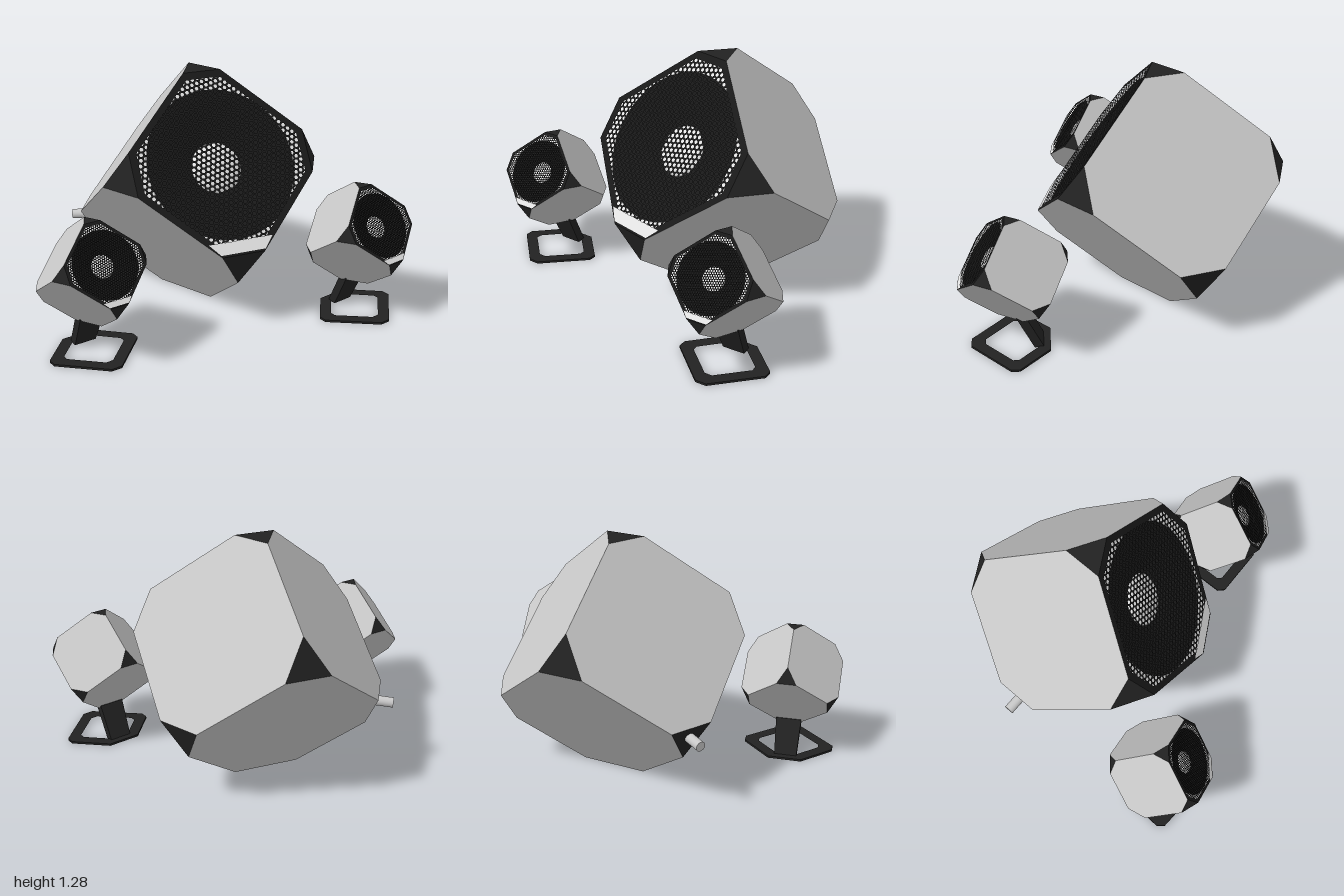
import * as THREE from 'three';
import { mergeGeometries } from 'three/addons/utils/BufferGeometryUtils.js';

const mat = (name, color, side = THREE.FrontSide) => {
  const m = new THREE.MeshStandardMaterial({ color, side });
  m.name = name;
  return m;
};
const grey = mat('casing grey', 0xc8c8c8);
const dark = mat('corner black', 0x222222);
const black = mat('grille black', 0x191919, THREE.DoubleSide);
const pale = mat('panel white', 0xe4e4e4, THREE.DoubleSide);

const A = 0.87, H = A / 2;
// chamfer length at a cube corner: the top one is smaller, the bottom one larger
const cut = (c) => {
  const sum = Math.sign(c[0]) + Math.sign(c[1]) + Math.sign(c[2]);
  return sum === 3 ? 0.15 : sum === -3 ? 0.25 : 0.17;
};

function mesh(name, geometry, material) {
  const m = new THREE.Mesh(geometry, material);
  m.name = name;
  return m;
}

// convex polygon as a fan, wound so it faces away from the centre
function polygon(points) {
  const v = points.map((p) => new THREE.Vector3(...p));
  const n = v[1].clone().sub(v[0]).cross(v[2].clone().sub(v[0]));
  if (n.dot(v[0]) < 0) v.reverse();
  const out = [];
  for (let i = 1; i < v.length - 1; i++) out.push(v[0], v[i], v[i + 1]);
  const g = new THREE.BufferGeometry().setFromPoints(out);
  g.computeVertexNormals();
  return g;
}

// octagon of one cube face
function facePoints(axis, sign) {
  const corners = [[1, 1], [-1, 1], [-1, -1], [1, -1]].map(([u, w]) => {
    const p = [0, 0, 0];
    p[axis] = sign * H;
    p[(axis + 1) % 3] = u * H;
    p[(axis + 2) % 3] = w * H;
    return p;
  });
  return corners.flatMap((c, i) => [corners[(i + 3) % 4], corners[(i + 1) % 4]].map(
    (other) => c.map((x, k) => x + (other[k] - x) * cut(c) / A)));
}

const toShape = (pts) => new THREE.Shape(pts.map((p) => new THREE.Vector2(p[0], p[1])));

// perforated grille made of hexagonal rings that tile
function grille() {
  const R = 0.0173, parts = [], m = R;
  const inside = (x, y) => Math.abs(x) < H - m && Math.abs(y) < H - m &&
    Math.abs(x) + Math.abs(y) < A - 0.17 - m * Math.SQRT2;
  for (let i = -18; i <= 18; i++) {
    for (let j = -16; j <= 16; j++) {
      const x = i * 1.5 * R;
      const y = (j + (i & 1) / 2) * Math.sqrt(3) * R;
      if (inside(x, y)) parts.push(new THREE.RingGeometry(0.011, R, 6, 1).translate(x, y, H - 0.002));
    }
  }
  return mergeGeometries(parts);
}

// chamfered cube cabinet standing on a corner, with a driver behind its grille
function makeSpeaker() {
  const s = new THREE.Group();
  const faces = [], corners = [];
  for (let axis = 0; axis < 3; axis++) {
    for (const sign of [-1, 1]) if (axis !== 2 || sign < 0) faces.push(polygon(facePoints(axis, sign)));
  }
  for (const x of [-H, H]) for (const y of [-H, H]) for (const z of [-H, H]) {
    const c = [x, y, z];
    corners.push(polygon([0, 1, 2].map((k) => c.map((q, i) => (i === k ? q - Math.sign(q) * cut(c) : q)))));
  }
  s.add(mesh('casing', mergeGeometries(faces), grey));
  s.add(mesh('cornerPlates', mergeGeometries(corners), dark));

  // baffle with a round opening
  const front = facePoints(2, 1);
  const baffle = toShape(front);
  baffle.holes.push(new THREE.Path().absarc(0, 0, 0.41, 0, Math.PI * 2, true));
  s.add(mesh('baffle', new THREE.ShapeGeometry(baffle, 32).translate(0, 0, H - 0.02), pale));

  // cone and dust cap
  const profile = [[0.41, -0.02], [0.38, -0.03], [0.34, -0.03], [0.13, -0.11]].map((p) => new THREE.Vector2(...p));
  s.add(mesh('cone', new THREE.LatheGeometry(profile, 40).rotateX(Math.PI / 2).translate(0, 0, H), black));
  const cap = new THREE.SphereGeometry(0.14, 28, 8, 0, Math.PI * 2, 0, Math.PI / 2);
  s.add(mesh('dustCap', cap.scale(1, 0.25, 1).rotateX(Math.PI / 2).translate(0, 0, H - 0.105), pale));

  // grille and its frame
  s.add(mesh('grille', grille(), black));
  const frame = toShape(front);
  const k = (H - 0.035) / H;
  frame.holes.push(new THREE.Path(front.map((p) => new THREE.Vector2(p[0] * k, p[1] * k))));
  s.add(mesh('grilleFrame', new THREE.ShapeGeometry(frame).translate(0, 0, H), black));

  // pale strip across the lowest corner of the grille
  const strip = toShape([[-0.125, 0.484], [0.125, 0.484], [0.18, 0.42], [-0.18, 0.42]]);
  s.add(mesh('strip', new THREE.ShapeGeometry(strip).rotateZ(Math.PI * 0.75).translate(0, 0, H + 0.003), pale));

  // stand the cube on its corner with the front face leaning back
  const r = Math.sqrt(1 / 3), q = Math.sqrt(2 / 3), h = Math.SQRT1_2;
  s.quaternion.setFromRotationMatrix(new THREE.Matrix4().makeBasis(
    new THREE.Vector3(h, r, -q / 2), new THREE.Vector3(-h, r, -q / 2), new THREE.Vector3(0, r, q)));
  return s;
}

// diamond foot frame with a leaning leg
function makeStand() {
  const g = new THREE.Group();
  g.name = 'stand';
  const half = [[0.03, 0.23], [0.245, 0.025], [0.245, -0.02], [0.09, -0.175]];
  const outline = [...half, ...half.map(([x, z]) => [-x, z]).reverse()];
  const foot = toShape(outline);
  foot.holes.push(new THREE.Path(outline.map(([x, z]) => new THREE.Vector2(x * 0.68, z * 0.68))));
  const footGeo = new THREE.ExtrudeGeometry(foot, { depth: 0.012, bevelEnabled: false });
  g.add(mesh('foot', footGeo.rotateX(Math.PI / 2).scale(1, 1, 1).translate(0, 0.012, 0), dark));

  const leg = new THREE.BoxGeometry(0.13, 0.19, 0.05);
  const p = leg.attributes.position;
  for (let i = 0; i < p.count; i++) {
    p.setZ(i, p.getZ(i) - 0.075 + p.getY(i) * 0.45);
    p.setX(i, p.getX(i) * (1 + p.getY(i) * 0.7));
  }
  leg.computeVertexNormals();
  g.add(mesh('leg', leg.translate(0, 0.1, 0), dark));
  return g;
}

export function createModel() {
  const model = new THREE.Group();
  const deg = Math.PI / 180;

  // large bass speaker
  const bass = new THREE.Group();
  bass.name = 'bassSpeaker';
  const cabinet = makeSpeaker();
  cabinet.position.y = 0.609;
  bass.add(cabinet);
  bass.position.set(0.1, 0, -0.16);
  bass.rotation.y = -6 * deg;
  model.add(bass);

  // knob on the rear corner
  const dir = new THREE.Vector3(-0.763, -0.08, -0.554).normalize();
  const knob = mesh('knob', new THREE.CylinderGeometry(0.027, 0.027, 0.13, 20), grey);
  knob.quaternion.setFromUnitVectors(new THREE.Vector3(0, 1, 0), dir);
  knob.position.set(-0.4, 0.395, -0.52).addScaledVector(dir, 0.035);
  model.add(knob);

  // two small speakers on stands
  for (const [name, x, z, yaw] of [['rightSatellite', -0.735, 0.28, 6], ['leftSatellite', 0.72, 0.525, 10]]) {
    const sat = new THREE.Group();
    sat.name = name;
    const box = makeSpeaker();
    box.scale.setScalar(0.43);
    box.position.y = 0.442;
    sat.add(box, makeStand());
    sat.position.set(x, 0, z);
    sat.rotation.y = yaw * deg;
    model.add(sat);
  }
  return model;
}
